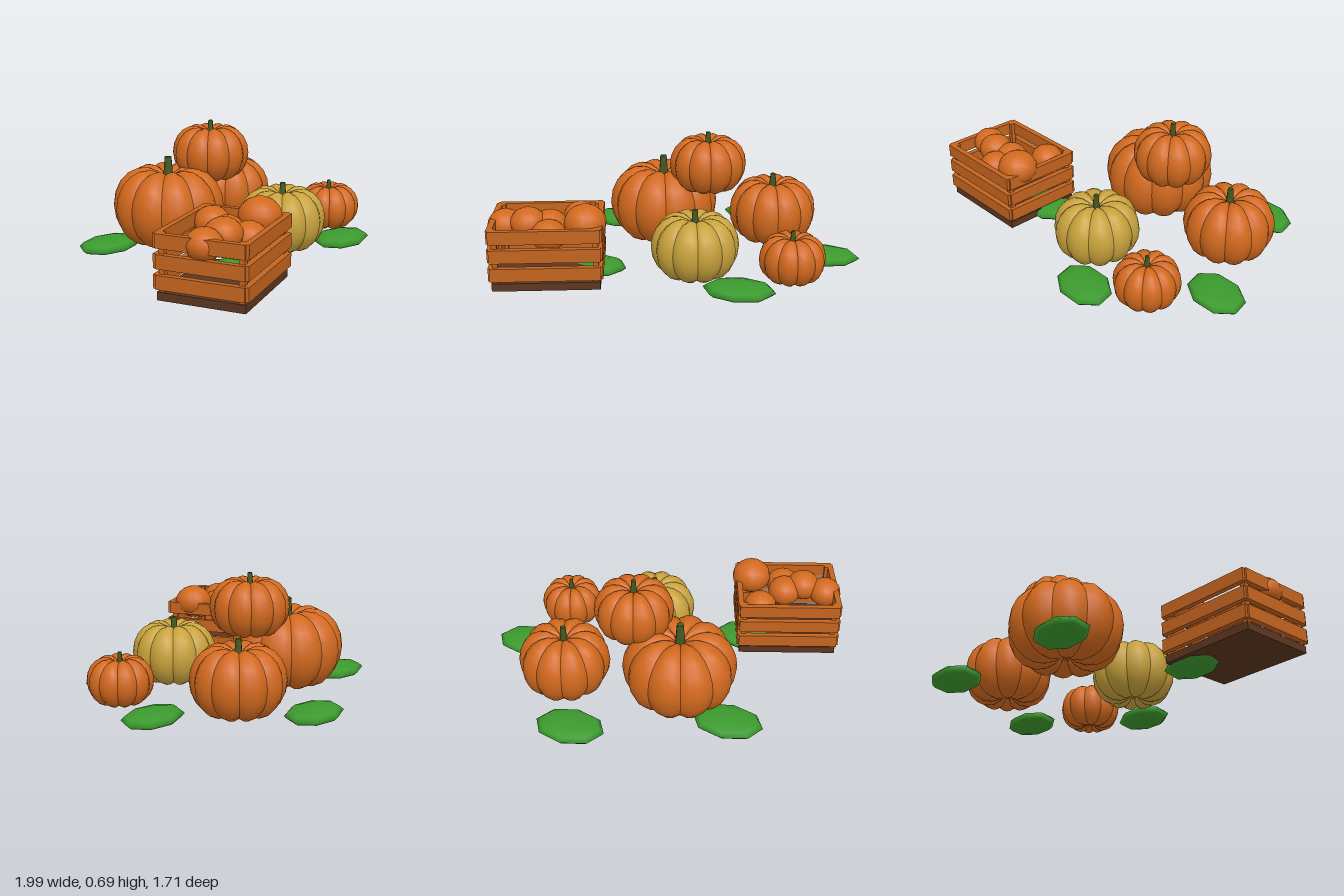
import * as THREE from 'three';
import { ParametricGeometry } from 'three/addons/geometries/ParametricGeometry.js';
import { mergeGeometries } from 'three/addons/utils/BufferGeometryUtils.js';

const mat = (name, color) => {
  const m = new THREE.MeshStandardMaterial({ color });
  m.name = name;
  return m;
};

export function createModel() {
  const orange = mat('pumpkin orange', 0xd2691e);
  const gold = mat('squash gold', 0xc8a23c);
  const green = mat('leaf green', 0x3c9a2e);
  const stemGreen = mat('stem green', 0x41591f);
  const wood = mat('slat wood', 0xc4641f);
  const darkWood = mat('floor wood', 0x5c3620);

  const model = new THREE.Group();
  model.name = 'pumpkinPatch';

  const add = (parent, name, geometry, material, x, y, z) => {
    const mesh = new THREE.Mesh(geometry, material);
    mesh.name = name;
    mesh.position.set(x, y, z);
    parent.add(mesh);
    return mesh;
  };

  // Ribbed body: one bulging lobe repeated round the axis, dipped at both poles
  const pumpkinGeometry = (R, h, ribs = 10) => {
    const d = 0.43, a = 0.57;
    const end = Math.acos(-(d - 0.02) / a);
    const lobe = new ParametricGeometry((u, v, p) => {
      const w = (2 * u - 1) ** 2;
      const phi = (2 * v - 1) * end;
      const theta = ((u - 0.5) * 2 * Math.PI) / ribs;
      const r = R * (d + a * Math.cos(phi)) * (1 - 0.07 * w);
      p.set(r * Math.sin(theta), h * Math.sin(phi) * (1 - 0.08 * w), r * Math.cos(theta));
    }, 4, 14);
    const lobes = [];
    for (let i = 0; i < ribs; i++) lobes.push(lobe.clone().rotateY((i * 2 * Math.PI) / ribs));
    return mergeGeometries(lobes);
  };

  // Pumpkins: x, z, radius, bottom, top, stem top, stem radius
  const pumpkin = (name, material, x, z, R, y0, y1, stemTop, sr) => {
    const g = new THREE.Group();
    g.name = name;
    g.position.set(x, 0, z);
    const h = (y1 - y0) / 2, cy = (y0 + y1) / 2;
    add(g, 'body', pumpkinGeometry(R, h), material, 0, cy, 0);
    const base = cy + h * 0.6;
    add(g, 'stem', new THREE.CylinderGeometry(sr * 0.75, sr * 1.2, stemTop - base, 8),
      stemGreen, 0, (base + stemTop) / 2, 0);
    model.add(g);
  };
  pumpkin('largePumpkin', orange, -0.21, -0.26, 0.32, 0.01, 0.45, 0.515, 0.026);
  pumpkin('mediumPumpkin', orange, 0.44, -0.36, 0.258, 0.01, 0.38, 0.42, 0.02);
  pumpkin('stackedPumpkin', orange, 0.08, -0.19, 0.223, 0.35, 0.66, 0.695, 0.017);
  pumpkin('goldPumpkin', gold, 0.125, 0.31, 0.242, 0.01, 0.355, 0.39, 0.019);
  pumpkin('smallPumpkin', orange, 0.655, 0.265, 0.182, 0.015, 0.27, 0.30, 0.014);

  // Leaves: flat octagonal pads on the ground
  const leafGeometry = new THREE.SphereGeometry(1, 8, 6).scale(0.197, 0.04, 0.139);
  for (const [x, z] of [[0.27, -0.72], [-0.535, -0.415], [0.795, -0.075], [0.415, 0.52], [-0.445, 0.385]])
    add(model, 'leaf', leafGeometry, green, x, 0.04, z);

  // Crate: floor, corner posts and three rows of slats
  const crate = new THREE.Group();
  crate.name = 'crate';
  crate.position.set(-0.64, 0, 0.53);
  crate.rotation.y = 0.297;
  model.add(crate);
  add(crate, 'floor', new THREE.BoxGeometry(0.57, 0.043, 0.46), darkWood, 0, 0.048, 0);
  for (const s of [-1, 1]) {
    for (const y of [0.122, 0.225, 0.328]) {
      add(crate, 'longSlat', new THREE.BoxGeometry(0.58, 0.073, 0.032), wood, 0, y, s * 0.231);
      add(crate, 'shortSlat', new THREE.BoxGeometry(0.032, 0.073, 0.46), wood, s * 0.284, y, 0);
    }
    for (const t of [-1, 1])
      add(crate, 'cornerPost', new THREE.BoxGeometry(0.03, 0.295, 0.03), wood, s * 0.263, 0.217, t * 0.207);
  }

  // Little round pumpkins in the crate: x, y, z, radius
  const fruit = new THREE.Group();
  fruit.name = 'crateFilling';
  model.add(fruit);
  for (const [x, y, z, r] of [
    [-0.52, 0.31, 0.345, 0.096], [-0.41, 0.36, 0.57, 0.114], [-0.86, 0.32, 0.59, 0.095],
    [-0.725, 0.34, 0.595, 0.098], [-0.625, 0.315, 0.535, 0.098], [-0.59, 0.3, 0.645, 0.096],
  ]) add(fruit, 'littlePumpkin', new THREE.SphereGeometry(r, 14, 10).scale(1, 0.87, 1), orange, x, y, z);

  return model;
}
